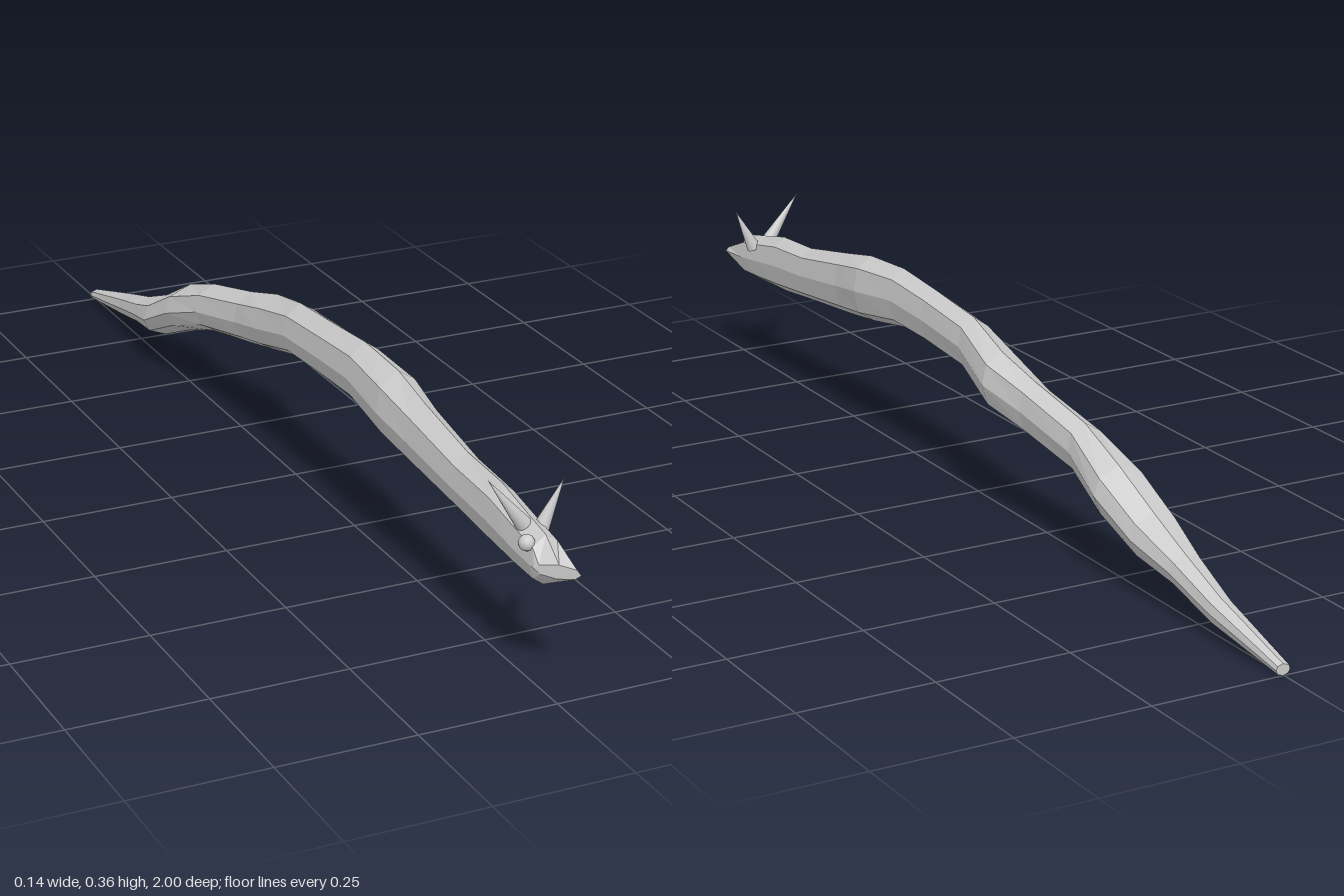
import * as THREE from 'three';

// Body stations, tail to head: z, bottom, top, -x side, +x side
const STATIONS = [
  [-1.0, 0.004, 0.025, -0.012, 0.015],
  [-0.82, 0.028, 0.077, -0.02, 0.028],
  [-0.7, 0.055, 0.113, -0.037, 0.03],
  [-0.6, 0.069, 0.152, -0.055, 0.043],
  [-0.5, 0.112, 0.208, -0.05, 0.055],
  [-0.38, 0.155, 0.25, -0.035, 0.036],
  [-0.23, 0.182, 0.284, -0.021, 0.046],
  [-0.13, 0.202, 0.312, -0.024, 0.065],
  [0.0, 0.238, 0.342, -0.026, 0.042],
  [0.15, 0.246, 0.355, -0.027, 0.038],
  [0.27, 0.249, 0.365, -0.028, 0.04],
  [0.4, 0.228, 0.358, -0.034, 0.048],
  [0.5, 0.216, 0.338, -0.027, 0.038],
  [0.66, 0.202, 0.309, -0.022, 0.035],
  [0.78, 0.19, 0.303, -0.021, 0.035],
  [0.87, 0.186, 0.284, -0.021, 0.035],
  [0.93, 0.185, 0.272, -0.02, 0.035],
];

// Eight-sided section, counter-clockwise seen from the front: [across, up]
const SECTION = [
  [1, 0.5], [0.82, 0.84], [0.05, 1], [-0.82, 0.8],
  [-1, 0.45], [-0.75, 0.16], [-0.05, 0], [0.75, 0.16],
];

function bodyGeometry() {
  const positions = [], index = [], n = SECTION.length;
  const addRing = (z, y0, y1, x0, x1, slant = 0) => {
    for (const [u, v] of SECTION) {
      const x = (x0 + x1) / 2 + u * (x1 - x0) / 2;
      positions.push(x, y0 + v * (y1 - y0), z + slant * (x - x0));
    }
  };
  STATIONS.forEach((s) => addRing(...s));
  // Slanted snout ring reaching furthest forward on the +x side
  addRing(0.945, 0.212, 0.237, -0.019, 0.036, 1);

  const rings = STATIONS.length + 1;
  for (let i = 0; i < rings - 1; i++) {
    for (let j = 0; j < n; j++) {
      const k = (j + 1) % n;
      const a = i * n + j, b = i * n + k;
      index.push(a, b, b + n, a, b + n, a + n);
    }
  }
  // Tail and snout caps
  const last = (rings - 1) * n;
  for (let j = 1; j < n - 1; j++) {
    index.push(0, j + 1, j, last, last + j, last + j + 1);
  }
  const geometry = new THREE.BufferGeometry();
  geometry.setAttribute('position', new THREE.Float32BufferAttribute(positions, 3));
  geometry.setIndex(index);
  geometry.computeVertexNormals();
  return geometry;
}

// Cone running from a base point to a tip
function horn(name, base, tip, radius, material) {
  const a = new THREE.Vector3(...base), b = new THREE.Vector3(...tip);
  const axis = b.clone().sub(a);
  const mesh = new THREE.Mesh(new THREE.ConeGeometry(radius, axis.length(), 10), material);
  mesh.name = name;
  mesh.position.copy(a).add(b).multiplyScalar(0.5);
  mesh.quaternion.setFromUnitVectors(new THREE.Vector3(0, 1, 0), axis.normalize());
  return mesh;
}

export function createModel() {
  const group = new THREE.Group();
  group.name = 'hornedSerpent';
  const faceted = new THREE.MeshStandardMaterial({ color: 0xcccccc, flatShading: true });
  const smooth = new THREE.MeshStandardMaterial({ color: 0xcccccc });

  const body = new THREE.Mesh(bodyGeometry(), faceted);
  body.name = 'body';
  group.add(body);

  // Uneven pair of horns on the crown
  group.add(horn('rightHorn', [0.0, 0.267, 0.877], [-0.072, 0.362, 0.88], 0.015, smooth));
  group.add(horn('leftHorn', [0.03, 0.26, 0.877], [0.068, 0.341, 0.88], 0.014, smooth));

  // Bulging eye on the right side of the head
  const eye = new THREE.Mesh(new THREE.SphereGeometry(0.014, 12, 8), smooth);
  eye.name = 'rightEye';
  eye.position.set(-0.019, 0.258, 0.917);
  group.add(eye);

  return group;
}
